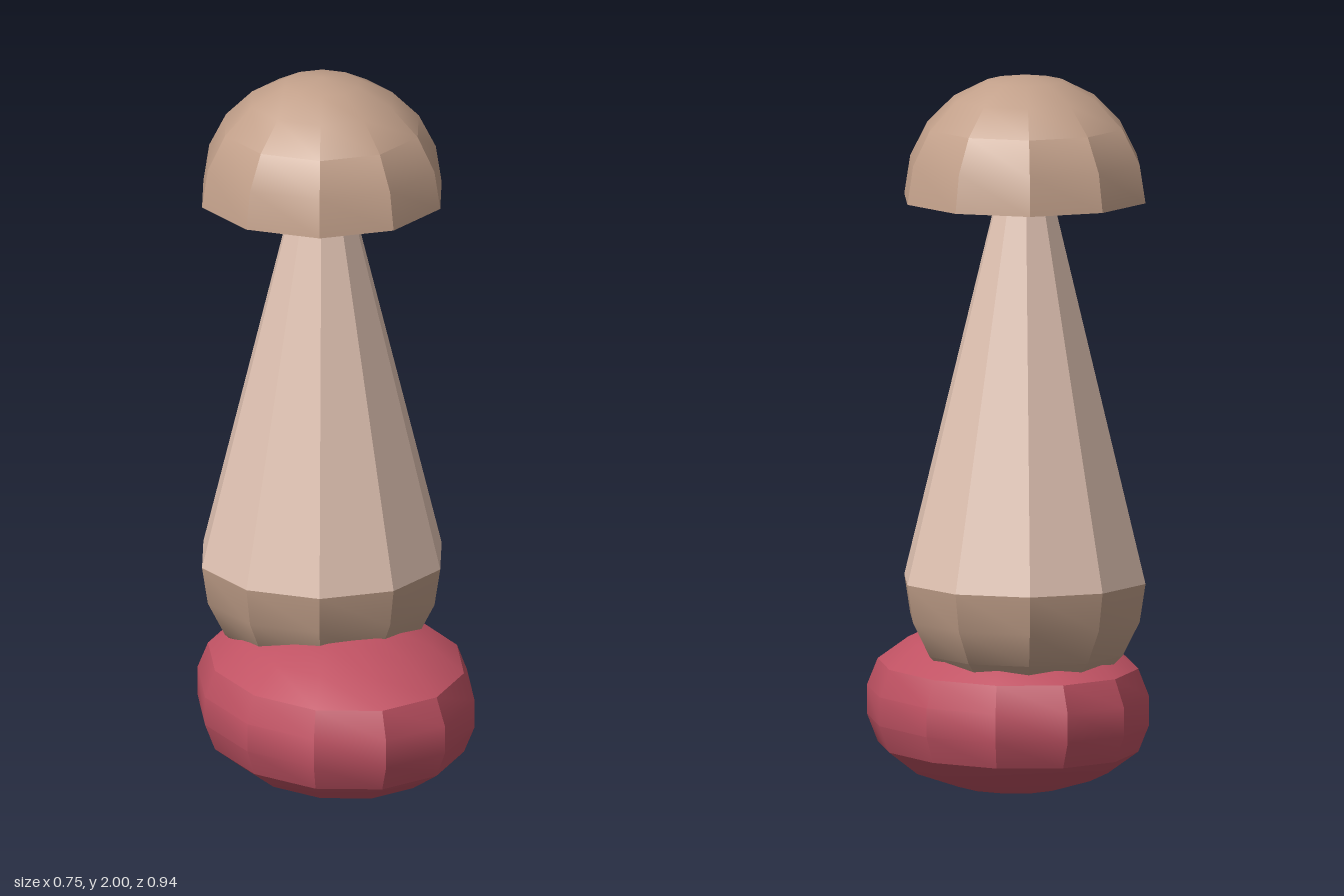
import * as THREE from 'three';
import { toCreasedNormals } from 'three/addons/utils/BufferGeometryUtils.js';

const SIDES = 10, RADIUS = 0.343, OFFSET_Z = -0.133;

export function createModel() {
  const model = new THREE.Group();
  const brown = new THREE.MeshStandardMaterial({ color: 0xc2a08a, side: THREE.DoubleSide });
  const skin = new THREE.MeshStandardMaterial({ color: 0xe0c2b2, side: THREE.DoubleSide });
  const red = new THREE.MeshStandardMaterial({ color: 0xc05263 });

  const add = (name, geometry, material, y, z, crease) => {
    const mesh = new THREE.Mesh(toCreasedNormals(geometry, THREE.MathUtils.degToRad(crease)), material);
    mesh.name = name;
    mesh.position.set(0, y, z);
    model.add(mesh);
  };
  const halfSphere = (start) =>
    new THREE.SphereGeometry(RADIUS, SIDES, 5, 0, Math.PI * 2, start, Math.PI / 2);

  // Flattened oval foot with a narrow straight band round its middle
  const foot = new THREE.CapsuleGeometry(1, 0.41, 4, 12).scale(0.375, 0.195, 0.47);
  add('foot', foot, red, 0.236, 0, 24.9);

  // Rounded underside of the leg, sunk into the foot
  add('ankle', halfSphere(Math.PI / 2), brown, 0.603, OFFSET_Z, 30);

  // Faceted cone rising to a point inside the cap
  const leg = new THREE.ConeGeometry(RADIUS, 1.38, SIDES, 1, true).rotateY(Math.PI / 2);
  add('leg', leg, skin, 0.603 + 0.69, OFFSET_Z, 30);

  // Hollow dome on top, open below
  add('cap', halfSphere(0), brown, 2 - RADIUS, OFFSET_Z, 30);

  return model;
}
